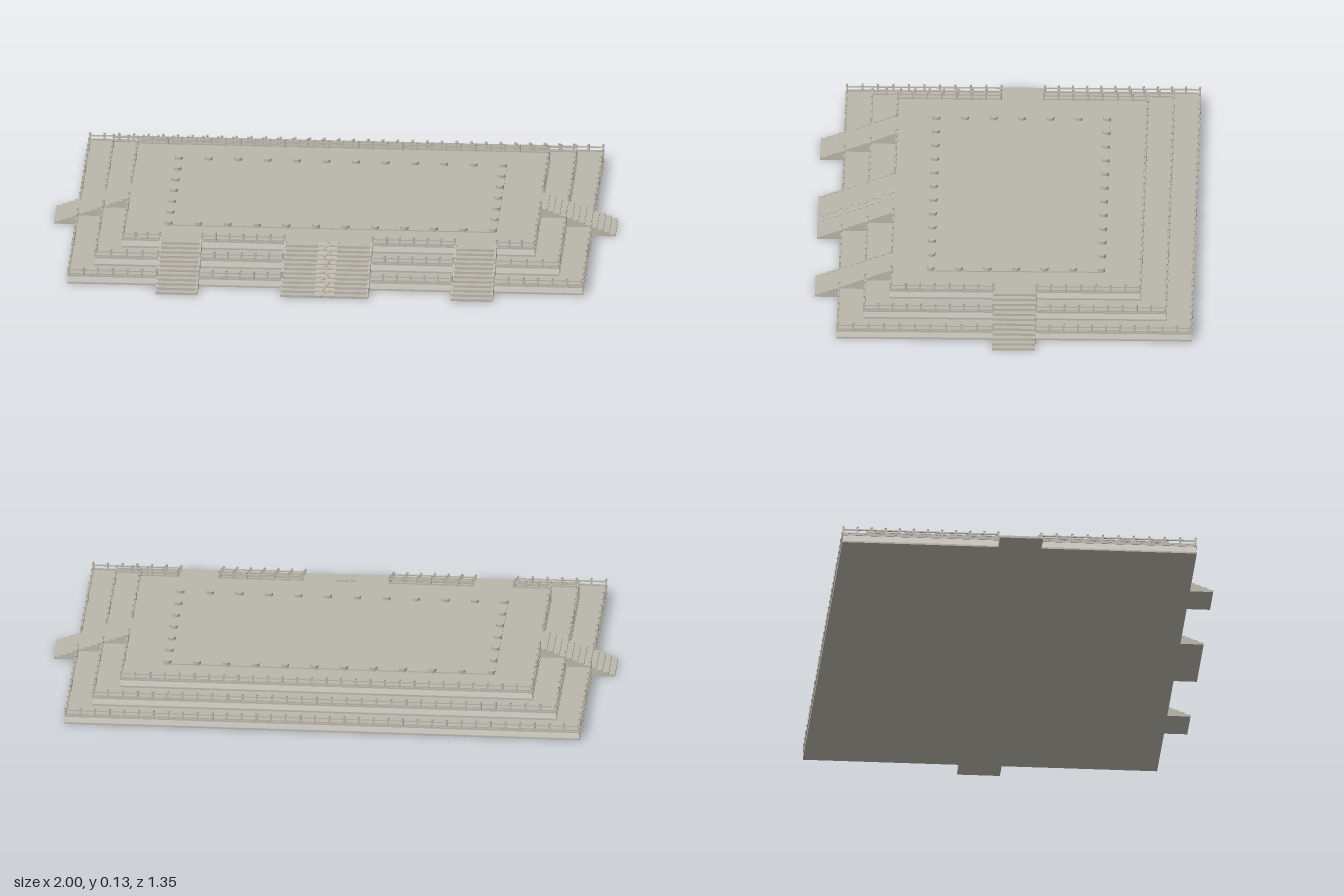
import * as THREE from 'three';
import { mergeGeometries } from 'three/addons/utils/BufferGeometryUtils.js';

const stone = new THREE.MeshStandardMaterial({ color: 0xbab6ab });
stone.name = 'grey stone';
const marble = new THREE.MeshStandardMaterial({ color: 0xdcd9d0 });
marble.name = 'pale marble';

const RISE = 0.1 / 3;
const TIERS = [
  { x: 0.918, back: -0.673, front: 0.59 },
  { x: 0.828, back: -0.582, front: 0.498 },
  { x: 0.736, back: -0.49, front: 0.405 },
];
const FOOT = 0.673;                     // z where the front stairs meet the ground
const SIDE_GAP = [-0.117, 0.036];       // z range of the side stairs
const FRONT_STAIRS = [[-0.6, -0.45], [-0.157, 0.157], [0.45, 0.6]];

function box(x0, x1, y0, y1, z0, z1) {
  return new THREE.BoxGeometry(x1 - x0, y1 - y0, z1 - z0)
    .translate((x0 + x1) / 2, (y0 + y1) / 2, (z0 + z1) / 2);
}

function mesh(geometry, material, name) {
  const m = new THREE.Mesh(geometry, material);
  m.name = name;
  return m;
}

// One straight balustrade: posts with round finials, two rails between them
function railing(parts, xa, za, xb, zb, y) {
  const length = Math.hypot(xb - xa, zb - za);
  const n = Math.max(2, Math.round(length / 0.0525));
  for (let i = 0; i <= n; i++) {
    const x = xa + (xb - xa) * i / n, z = za + (zb - za) * i / n;
    parts.push(new THREE.BoxGeometry(0.007, 0.024, 0.007).translate(x, y + 0.012, z));
    parts.push(new THREE.SphereGeometry(0.0048, 6, 4).translate(x, y + 0.0265, z));
  }
  const angle = -Math.atan2(zb - za, xb - xa);
  for (const [h, t] of [[0.0035, 0.005], [0.018, 0.004]]) {
    parts.push(new THREE.BoxGeometry(length, t, 0.005).rotateY(angle)
      .translate((xa + xb) / 2, y + h, (za + zb) / 2));
  }
}

// Side profile extruded across a width; the run descends toward +z
function extrudeAcross(points, width) {
  const shape = new THREE.Shape(points.map(([a, b]) => new THREE.Vector2(a, b)));
  return new THREE.ExtrudeGeometry(shape, { depth: width, bevelEnabled: false })
    .rotateY(-Math.PI / 2).translate(width / 2, 0, 0);
}

function steps(width, run, rise, count) {
  const pts = [[0, 0], [run, 0]];
  for (let i = 0; i < count; i++) {
    const a = run * (1 - i / count), h = rise * (i + 1) / count;
    pts.push([a, h], [run * (1 - (i + 1) / count), h]);
  }
  return extrudeAcross(pts, width);
}

export function createModel() {
  const model = new THREE.Group();
  model.name = 'terrace';

  // Stacked tiers: footing, wall, capping slab
  TIERS.forEach((t, i) => {
    const y = i * RISE, top = y + RISE, g = new THREE.Group();
    g.name = 'tier' + (i + 1);
    g.add(mesh(box(-t.x, t.x, y, y + 0.006, t.back, t.front), stone, 'footing'));
    g.add(mesh(box(-t.x + 0.002, t.x - 0.002, y + 0.006, top - 0.006,
      t.back + 0.002, t.front - 0.002), marble, 'wall'));
    g.add(mesh(box(-t.x, t.x, top - 0.006, top, t.back, t.front), stone, 'cap'));

    // Balustrades, broken at the stairs
    const rails = [], e = 0.004, x = t.x - e, zb = t.back + e, zf = t.front - e;
    railing(rails, -x, zb, x, zb, top);
    for (const s of [-1, 1]) {
      railing(rails, s * x, zb, s * x, SIDE_GAP[0], top);
      railing(rails, s * x, SIDE_GAP[1], s * x, zf, top);
      railing(rails, s * 0.6, zf, s * x, zf, top);
      railing(rails, s * 0.157, zf, s * 0.45, zf, top);
    }
    g.add(mesh(mergeGeometries(rails.map(r => r.toNonIndexed())), stone, 'balustrade'));
    model.add(g);
  });

  // Front stairs with sloping cheeks
  const top = 3 * RISE, z0 = TIERS[2].front, run = FOOT - z0;
  for (const [a, b] of FRONT_STAIRS) {
    const g = new THREE.Group();
    g.name = 'frontStairs';
    g.position.set((a + b) / 2, 0, z0);
    g.add(mesh(steps(b - a, run, top, 12), stone, 'steps'));
    for (const s of [-1, 1]) {
      const cheek = mesh(extrudeAcross([[0, 0], [run, 0], [run, 0.004], [0, top + 0.008]], 0.007), stone, 'cheek');
      cheek.position.x = s * ((b - a) / 2 - 0.0035);
      g.add(cheek);
    }
    model.add(g);
  }

  // Side stairs
  for (const s of [-1, 1]) {
    const stairs = mesh(steps(SIDE_GAP[1] - SIDE_GAP[0], 1 - TIERS[2].x, top, 12), stone, 'sideStairs');
    stairs.rotation.y = s * Math.PI / 2;
    stairs.position.set(s * TIERS[2].x, 0, (SIDE_GAP[0] + SIDE_GAP[1]) / 2);
    model.add(stairs);
  }

  // Carved ramp up the middle of the central stairs
  const ramp = mesh(extrudeAcross([[0, 0], [run, 0], [run, 0.005], [0, top + 0.005]], 0.07), stone, 'carvedRamp');
  ramp.position.z = z0;
  model.add(ramp);
  const knots = [];
  for (let i = 0; i < 26; i++) {
    const f = (i + 0.5) / 26;
    knots.push(new THREE.SphereGeometry(0.006 + 0.002 * Math.sin(i * 2.3), 7, 5).scale(1, 0.7, 1)
      .translate(0.013 * Math.sin(i * 1.7), top * (1 - f) + 0.006, z0 + run * f));
  }
  model.add(mesh(mergeGeometries(knots), stone, 'rampCarving'));

  // Low floor with a ring of round column bases
  model.add(mesh(box(-0.59, 0.59, top, top + 0.004, -0.355, 0.272), stone, 'floor'));
  const disc = new THREE.CylinderGeometry(0.014, 0.014, 0.014, 16);
  const addBase = (x, z) => {
    const m = mesh(disc, stone, 'columnBase');
    m.position.set(x, top + 0.007, z);
    model.add(m);
  };
  for (let i = 0; i < 12; i++) {
    const x = -0.577 + 1.154 * i / 11;
    addBase(x, -0.345);
    addBase(x, 0.261);
  }
  for (let i = 1; i < 6; i++) {
    for (const s of [-1, 1]) addBase(s * 0.577, -0.345 + 0.606 * i / 6);
  }
  return model;
}
